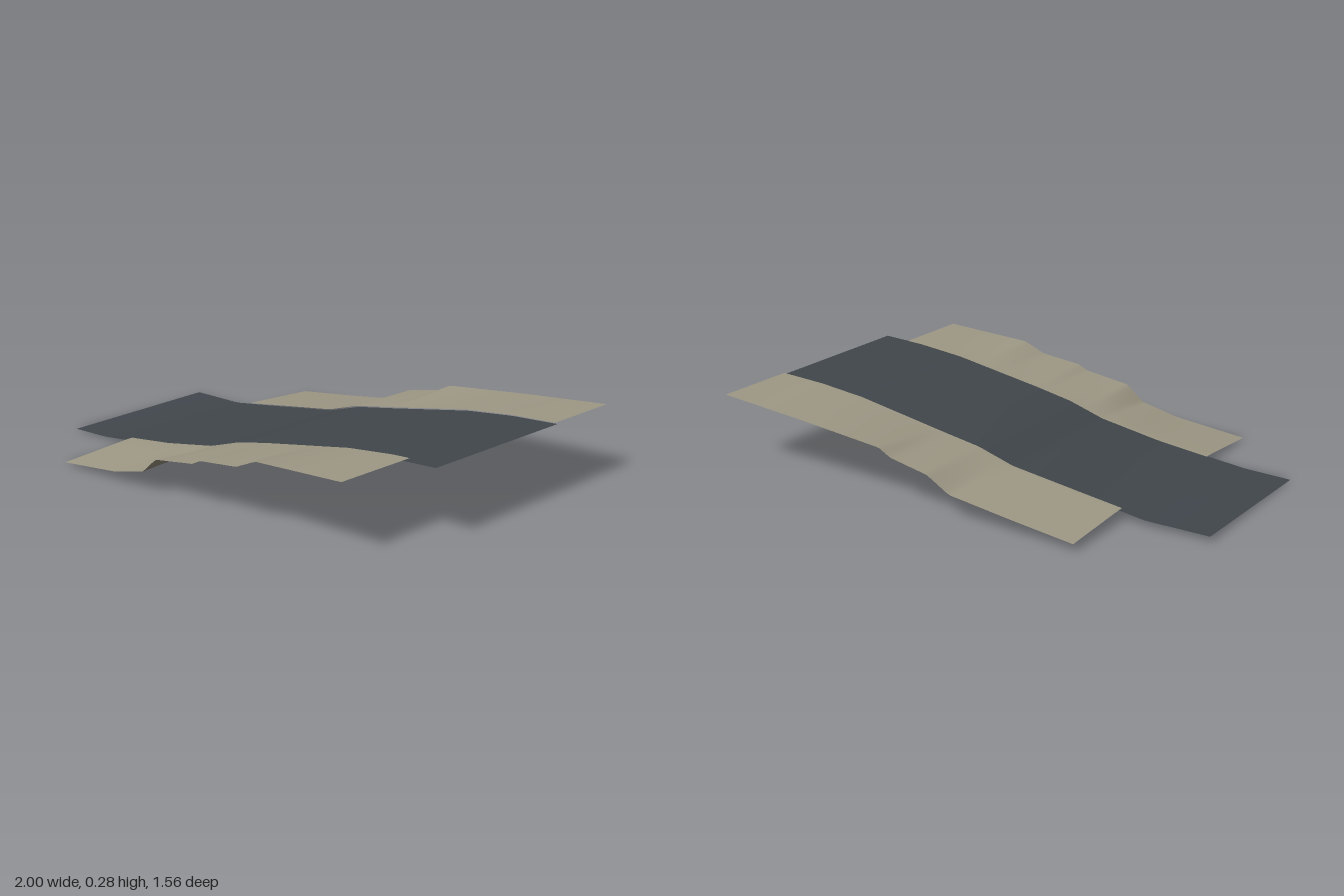
import * as THREE from 'three';

// Height profiles: [distance along the road, height]
const ROAD_BACK = [[-0.96, 0.022], [-0.71, 0.023], [-0.45, 0.058], [-0.15, 0.1], [0, 0.145], [0.15, 0.17], [0.35, 0.205], [0.55, 0.24], [0.75, 0.261], [0.95, 0.271]];
const ROAD_FRONT = [[-0.96, 0.001], [-0.77, 0.008], [-0.57, 0.03], [-0.4, 0.05], [-0.15, 0.093], [0, 0.14], [0.15, 0.17], [0.35, 0.205], [0.55, 0.24], [0.75, 0.261], [0.95, 0.271]];
const BANK_BACK = [[-0.61, 0.03], [-0.36, 0.06], [-0.1, 0.095], [-0.006, 0.15], [0.156, 0.182], [0.207, 0.21], [0.61, 0.25], [0.948, 0.278]];
const BANK_FRONT = [[-0.62, 0.007], [-0.315, 0.04], [-0.153, 0.078], [-0.08, 0.14], [0.12, 0.17], [0.16, 0.19], [0.34, 0.21], [0.435, 0.25], [0.823, 0.271]];

const T_BACK = -0.318, T_FRONT = 0.37;

function heightAt(profile, s) {
  for (let i = 1; i < profile.length; i++) {
    const [s0, y0] = profile[i - 1], [s1, y1] = profile[i];
    if (s <= s1 || i === profile.length - 1) {
      return THREE.MathUtils.lerp(y0, y1, THREE.MathUtils.clamp((s - s0) / (s1 - s0), 0, 1));
    }
  }
}

function roadHeight(s, t) {
  const k = (t - T_BACK) / (T_FRONT - T_BACK);
  return THREE.MathUtils.lerp(heightAt(ROAD_BACK, s), heightAt(ROAD_FRONT, s), k);
}

// Sheet running from s0 to s1, with rows across at the given t values (back to front)
function sheet(s0, s1, rows, height, material, name) {
  const n = 90;
  const g = new THREE.PlaneGeometry(1, 1, n, rows.length - 1);
  const p = g.attributes.position;
  for (let j = 0; j < rows.length; j++) {
    for (let i = 0; i <= n; i++) {
      const s = s0 + (s1 - s0) * i / n;
      p.setXYZ(j * (n + 1) + i, s, height(s, rows[j]), rows[j]);
    }
  }
  g.computeVertexNormals();
  const mesh = new THREE.Mesh(g, material);
  mesh.name = name;
  return mesh;
}

// Bank: a narrow lip lying over the road edge, then a slope to its own outer profile
function bankHeight(edge, outer, profile) {
  return (s, t) => {
    const k = THREE.MathUtils.clamp((t - edge) / (outer - edge), 0, 1);
    return THREE.MathUtils.lerp(roadHeight(s, edge) + 0.007, heightAt(profile, s), k);
  };
}

export function createModel() {
  const asphalt = new THREE.MeshStandardMaterial({ color: 0x41474c, side: THREE.DoubleSide });
  asphalt.name = 'asphalt';
  const gravel = new THREE.MeshStandardMaterial({ color: 0x9f9986, side: THREE.DoubleSide });
  gravel.name = 'gravel';

  const model = new THREE.Group();
  model.name = 'roadSection';

  // Road surface
  model.add(sheet(-0.96, 0.95, [T_BACK, -0.09, 0.14, T_FRONT], roadHeight, asphalt, 'roadSurface'));

  // Banks on both sides
  model.add(sheet(-0.61, 0.948, [-0.64, -0.53, -0.42, -0.328, -0.306],
    bankHeight(-0.328, -0.64, BANK_BACK), gravel, 'backBank'));
  model.add(sheet(-0.62, 0.823, [0.35, 0.372, 0.47, 0.58, 0.686],
    bankHeight(0.372, 0.686, BANK_FRONT), gravel, 'frontBank'));

  // The road crosses the base at a slight angle
  model.rotation.y = 0.163;
  return model;
}
